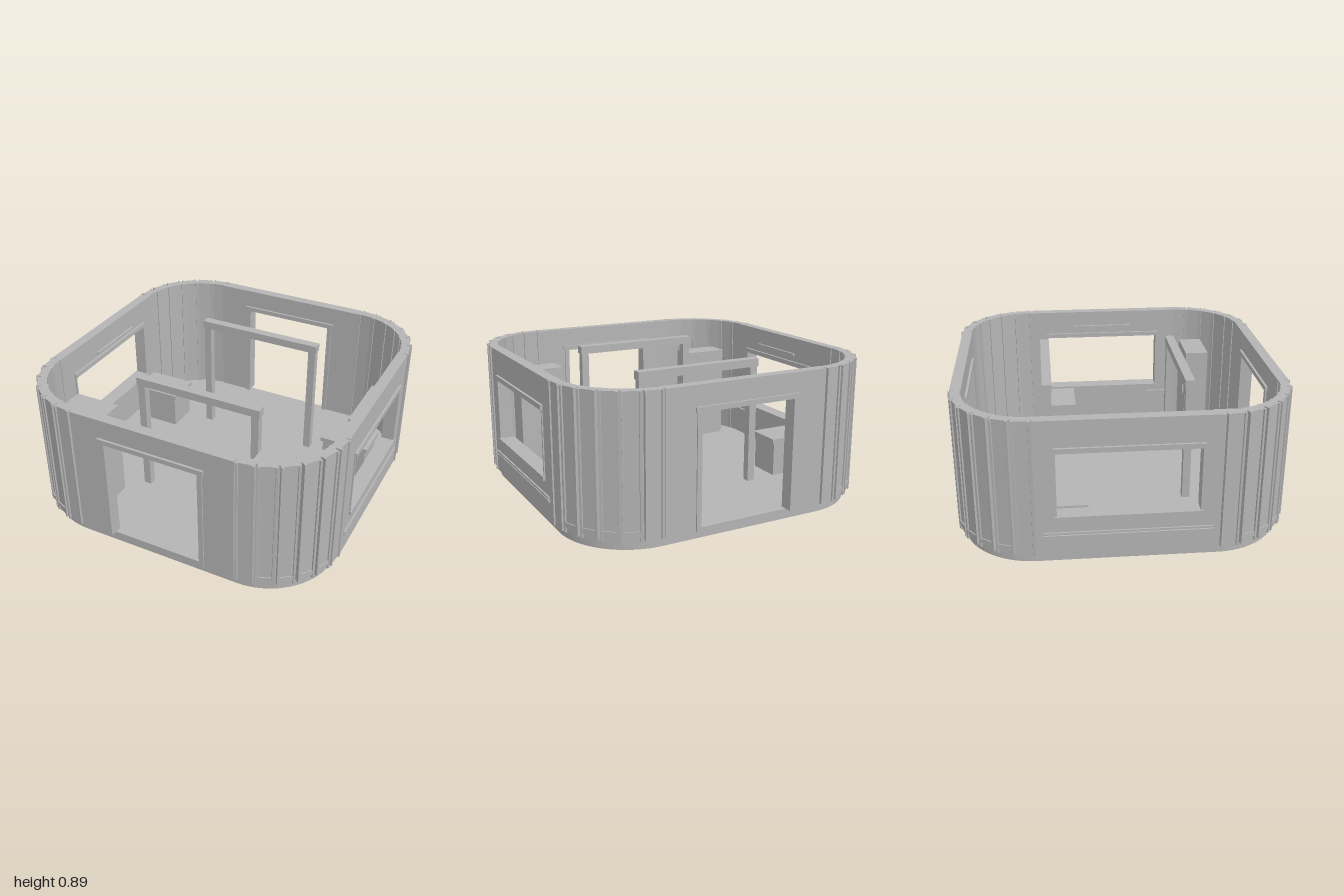
import * as THREE from 'three';

const grey = new THREE.MeshStandardMaterial({ color: 0xb4b4b4 });
grey.name = 'plain grey';

const BASE = 0.06, TOP = 0.89, FLAT = 0.52, OUT = 0.985, INN = 0.92;

function add(parent, geometry, name) {
  const mesh = new THREE.Mesh(geometry, grey);
  mesh.name = name;
  parent.add(mesh);
  return mesh;
}

// Box given by its limits on each axis
function box(parent, name, x0, x1, y0, y1, z0, z1) {
  const g = new THREE.BoxGeometry(x1 - x0, y1 - y0, z1 - z0);
  g.translate((x0 + x1) / 2, (y0 + y1) / 2, (z0 + z1) / 2);
  return add(parent, g, name);
}

function rect(Type, x0, x1, y0, y1) {
  return new Type([[x0, y0], [x1, y0], [x1, y1], [x0, y1]].map(p => new THREE.Vector2(...p)));
}

// Extrudes a floor-plan shape upwards
function upright(shape, y0, y1) {
  const g = new THREE.ExtrudeGeometry(shape, { depth: y1 - y0, bevelEnabled: false, curveSegments: 10 });
  g.rotateX(-Math.PI / 2);
  return g.translate(0, y0, 0);
}

function floorSlab() {
  const s = new THREE.Shape(), h = 0.95, r = 0.43, c = h - r;
  for (let i = 0; i < 4; i++) {
    const a = i * Math.PI / 2 + Math.PI / 4;
    s.absarc(Math.sign(Math.cos(a)) * c, Math.sign(Math.sin(a)) * c, r, a - Math.PI / 4, a + Math.PI / 4, false);
  }
  return upright(s, 0, BASE);
}

// Straight wall facing +z with a doorway and its trim
function doorWall() {
  const g = new THREE.Group();
  g.name = 'doorWall';
  const s = new THREE.Shape([
    [-FLAT, BASE], [-0.305, BASE], [-0.305, 0.74], [0.305, 0.74],
    [0.305, BASE], [FLAT, BASE], [FLAT, TOP], [-FLAT, TOP]
  ].map(p => new THREE.Vector2(...p)));
  const w = new THREE.ExtrudeGeometry(s, { depth: OUT - INN, bevelEnabled: false });
  add(g, w.translate(0, 0, INN), 'wallPanel');
  box(g, 'doorLintel', -0.34, 0.34, 0.74, 0.77, 0.905, 1);
  for (const k of [-1, 1]) box(g, 'doorJamb', k * 0.315 - 0.015, k * 0.315 + 0.015, BASE, 0.74, 0.91, 0.993);
  return g;
}

// Straight wall facing +z with a window, its trim and rails
function windowWall() {
  const g = new THREE.Group();
  g.name = 'windowWall';
  const s = rect(THREE.Shape, -FLAT, FLAT, BASE, TOP);
  s.holes.push(rect(THREE.Path, -0.405, 0.405, 0.31, 0.70));
  const w = new THREE.ExtrudeGeometry(s, { depth: OUT - INN, bevelEnabled: false });
  add(g, w.translate(0, 0, INN), 'wallPanel');
  box(g, 'windowLintel', -0.415, 0.415, 0.70, 0.73, 0.905, 1);
  box(g, 'windowSill', -0.415, 0.415, 0.285, 0.31, 0.90, 1);
  for (const k of [-1, 1]) box(g, 'windowJamb', k * 0.408 - 0.006, k * 0.408 + 0.006, 0.31, 0.70, 0.91, 0.992);
  box(g, 'lowerRail', -0.48, 0.48, 0.175, 0.188, OUT - 0.01, 0.995);
  box(g, 'upperRail', -0.48, 0.48, 0.194, 0.207, OUT - 0.01, 0.995);
  // Inside: curtain rod and a small low panel
  box(g, 'curtainRod', -0.21, 0.21, 0.785, 0.80, 0.865, 0.88);
  return g;
}

// Rounded corner of six flat planks with raised edges and grooves between
function cornerWall() {
  const g = new THREE.Group();
  g.name = 'cornerWall';
  const n = 6, step = Math.PI / 2 / n, ro = OUT - FLAT, ri = INN - FLAT, pts = [];
  const put = (r, a) => pts.push(new THREE.Vector2(FLAT + r * Math.cos(a), FLAT + r * Math.sin(a)));
  for (let i = 0; i < n; i++) {
    const a = i * step, b = a + step;
    put(ro - 0.025, a + 0.001);
    put(ro - 0.025, a + 0.012);
    put(ro + 0.008, a + 0.018);
    put(ro + 0.006, a + 0.045);
    put(ro - 0.003, a + 0.048);
    put(ro - 0.003, b - 0.048);
    put(ro + 0.006, b - 0.045);
    put(ro + 0.008, b - 0.018);
    put(ro - 0.025, b - 0.012);
  }
  put(ro - 0.025, Math.PI / 2);
  for (let i = n; i > 0; i--) {
    const a = i * step;
    put(ri, a);
    put(ri, a - 0.03);
    put(ri + 0.006, a - 0.032);
    put(ri + 0.006, a - step + 0.032);
    put(ri, a - step + 0.03);
  }
  put(ri, 0);
  add(g, upright(new THREE.Shape(pts), BASE, TOP), 'planks');
  // Short foot strips on the planks
  for (let i = 1; i < n - 1; i++) {
    const a = (i + 0.5) * step;
    const m = add(g, new THREE.BoxGeometry(0.012, 0.03, 0.085), 'footStrip');
    m.position.set(FLAT + (ro - 0.004) * Math.cos(a), 0.103, -FLAT - (ro - 0.004) * Math.sin(a));
    m.rotation.y = a;
  }
  return g;
}

// Tall two-door cabinet whose doors face -z
function tallCabinet(x) {
  const g = new THREE.Group();
  g.name = 'tallCabinet';
  box(g, 'cabinetBody', x - 0.15, x + 0.15, BASE, 0.70, 0.565, 0.715);
  box(g, 'lowerDoor', x - 0.15, x + 0.15, 0.08, 0.585, 0.56, 0.566);
  box(g, 'upperDoor', x - 0.15, x + 0.15, 0.595, 0.70, 0.56, 0.566);
  box(g, 'doorHandle', x - 0.105, x - 0.095, 0.38, 0.44, 0.55, 0.562);
  box(g, 'drawerHandle', x - 0.12, x + 0.04, 0.565, 0.573, 0.553, 0.562);
  return g;
}

export function createModel() {
  const model = new THREE.Group();
  model.name = 'roundedCabin';
  add(model, floorSlab(), 'floorSlab');

  // Outer walls
  for (let i = 0; i < 4; i++) {
    const wall = i % 2 ? windowWall() : doorWall();
    const corner = cornerWall();
    wall.rotation.y = corner.rotation.y = i * Math.PI / 2;
    model.add(wall, corner);
  }

  // Two post-and-beam frames
  for (const z of [-0.43, 0.425]) {
    const frame = new THREE.Group();
    frame.name = 'beamFrame';
    box(frame, 'beam', -0.415, 0.415, 0.81, 0.86, z - 0.029, z + 0.029);
    for (const k of [-1, 1]) box(frame, 'post', k * 0.385 - 0.024, k * 0.385 + 0.024, BASE, 0.81, z - 0.024, z + 0.024);
    model.add(frame);
  }

  // Counters and low side panels
  for (const k of [-1, 1]) {
    const x = k * 0.715;
    box(model, 'counterTop', x - 0.16, x + 0.16, 0.28, 0.308, -0.45, -0.22);
    box(model, 'counterBase', x - 0.145, x + 0.145, BASE, 0.28, -0.44, -0.23);
    box(model, 'lowPanel', k * 0.8725 - 0.0075, k * 0.8725 + 0.0075, 0.2, 0.27, 0.33, 0.525);
    model.add(tallCabinet(k * 0.64));
  }
  return model;
}
